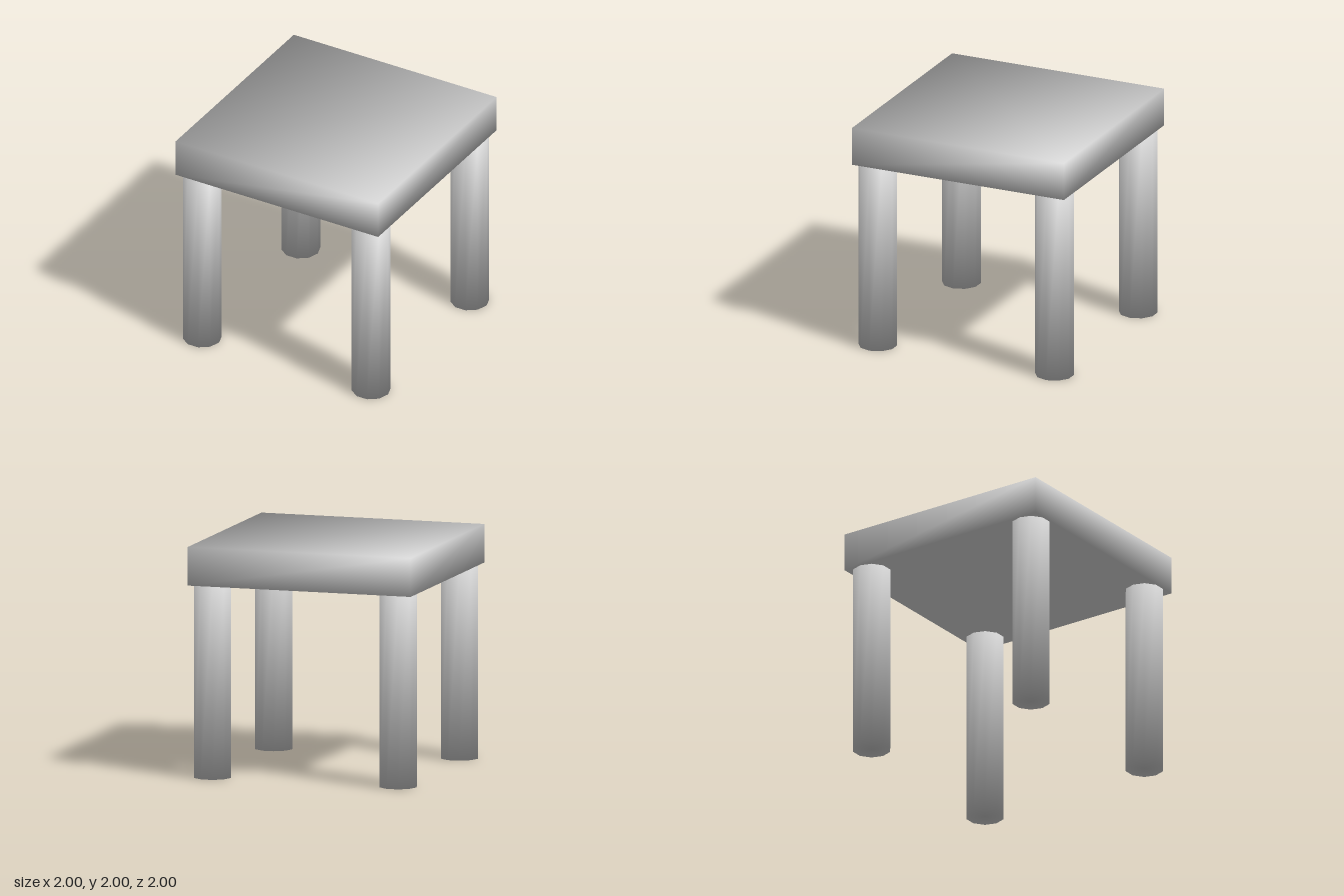
import * as THREE from 'three';

// Soft normals shared across edges: each corner points evenly outwards.
function softenNormals(geometry, outward) {
  const p = geometry.attributes.position, n = geometry.attributes.normal;
  const v = new THREE.Vector3();
  for (let i = 0; i < p.count; i++) {
    v.fromBufferAttribute(p, i);
    outward(v).normalize();
    n.setXYZ(i, v.x, v.y, v.z);
  }
  return geometry;
}

export function createModel() {
  const group = new THREE.Group();
  group.name = 'table';
  const grey = new THREE.MeshStandardMaterial({ color: 0xcccccc });
  grey.name = 'light grey';

  const legHeight = 1.667, thickness = 0.333, legRadius = 0.1667, legOffset = 0.8333;

  // Square slab top
  const topGeometry = softenNormals(
    new THREE.BoxGeometry(2, thickness, 2),
    (v) => v.set(Math.sign(v.x), Math.sign(v.y), Math.sign(v.z))
  );
  const top = new THREE.Mesh(topGeometry, grey);
  top.name = 'tableTop';
  top.position.y = legHeight + thickness / 2;
  group.add(top);

  // Ten-sided legs, with corners on the x axis
  const legGeometry = softenNormals(
    new THREE.CylinderGeometry(legRadius, legRadius, legHeight, 10, 1, false, Math.PI / 2),
    (v) => v.set(v.x / legRadius, Math.sign(v.y), v.z / legRadius)
  );
  for (const [z, end] of [[1, 'front'], [-1, 'back']]) {
    for (const [x, side] of [[1, 'Left'], [-1, 'Right']]) {
      const leg = new THREE.Mesh(legGeometry, grey);
      leg.name = `${end}${side}Leg`;
      leg.position.set(x * legOffset, legHeight / 2, z * legOffset);
      group.add(leg);
    }
  }
  return group;
}
